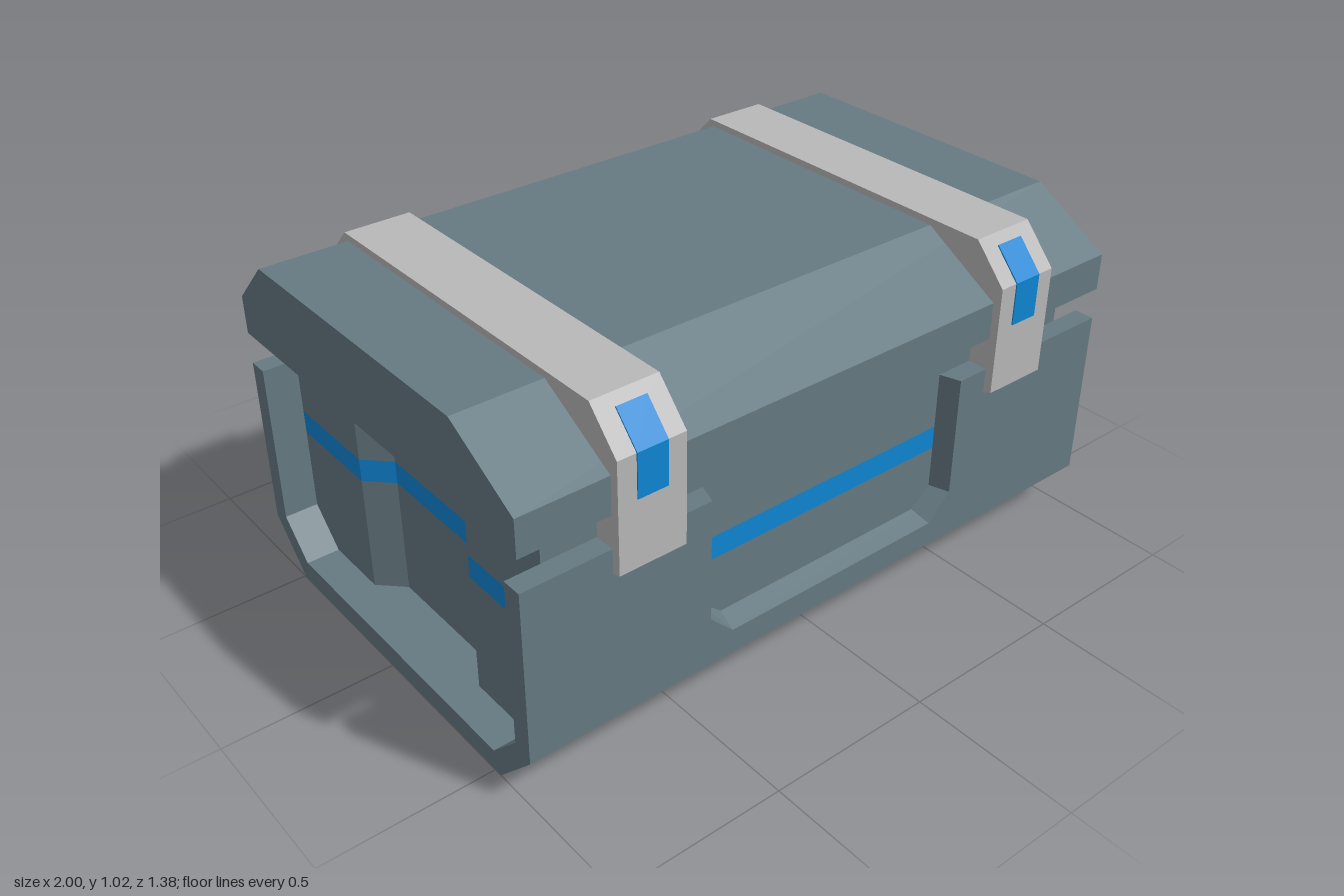
import * as THREE from 'three';

// Prism along z: outline A ([x, y] points) at z0 blending to outline B at z1.
function loft(A, B, z0, z1) {
  const d = z1 - z0;
  const shape = new THREE.Shape(A.map(([x, y]) => new THREE.Vector2(x, y)));
  const geo = new THREE.ExtrudeGeometry(shape, { depth: d, bevelEnabled: false, steps: 1 });
  const p = geo.attributes.position;
  for (let i = 0; i < p.count; i++) {
    if (p.getZ(i) < d / 2) continue;
    const k = A.findIndex(([x, y]) => Math.hypot(x - p.getX(i), y - p.getY(i)) < 1e-4);
    p.setXY(i, B[k][0], B[k][1]);
  }
  geo.translate(0, 0, z0);
  geo.computeVertexNormals();
  return geo;
}

// Prism along x from side profiles given as [z, y] points.
function loftX(A, B, x0, x1) {
  const flip = (pts) => pts.map(([z, y]) => [-z, y]);
  return loft(flip(A), flip(B), x0, x1).rotateY(Math.PI / 2);
}

// Same prism on either side of the model.
function loftSide(A, B, x0, x1, s) {
  return s > 0 ? loftX(A, B, x0, x1) : loftX(B, A, -x1, -x0);
}

export function createModel() {
  const model = new THREE.Group();
  model.name = 'crate';
  const material = (name, color) => {
    const m = new THREE.MeshStandardMaterial({ color });
    m.name = name;
    return m;
  };
  const slate = material('slate', 0x667a82);
  const grey = material('strapGrey', 0xb8b8b8);
  const blue = material('accentBlue', 0x0f86d4);
  const add = (name, geo, mat) => {
    const mesh = new THREE.Mesh(geo, mat);
    mesh.name = name;
    model.add(mesh);
  };
  const sides = [[1, 'left'], [-1, 'right']];

  // Inner body, stacked in three bands so the stripe is a whole part
  const bands = [['bodyLower', 0.065, 0.422, slate], ['bodyStripe', 0.422, 0.492, blue], ['bodyUpper', 0.492, 0.755, slate]];
  for (const [name, y0, y1, mat] of bands) {
    const c = y0 < 0.1 ? 0.105 : 0; // bottom chamfer on the lowest band only
    const corner = (z, s) => (c ? [[z, y0 + c], [z - s * c, y0]] : [[z, y0]]);
    const core = [[0.605, y1], ...corner(0.605, 1), ...corner(-0.575, -1).reverse(), [-0.575, y1]];
    add(name, loftX(core, core, -0.83, 0.83), mat);
    // Raised end panels, sloping down to the recessed middle
    const panel = (z, s, inner) => [[z, y1], ...corner(z, s), [inner, y0], [inner, y1]];
    for (const [s, side] of sides) {
      add(`${name}FrontPanel_${side}`, loftSide(panel(0.605, 1, 0.215), panel(0.605, 1, 0.28), 0.83, 0.9, s), mat);
      add(`${name}BackPanel_${side}`, loftSide(panel(-0.575, -1, -0.19), panel(-0.575, -1, -0.26), 0.83, 0.9, s), mat);
    }
  }

  // U-shaped outer shell: full ends, lower front in the middle with an undercut
  const shellInside = [[-0.575, 0.66], [-0.575, 0.17], [-0.47, 0.065], [0.5, 0.065], [0.605, 0.17]];
  const shellBack = [[-0.495, 0], [-0.635, 0.145], [-0.635, 0.66]];
  const endProfile = [...shellInside, [0.605, 0.66], [0.665, 0.66], [0.665, 0.145], [0.525, 0], ...shellBack];
  const midProfile = [...shellInside, [0.605, 0.24], [0.665, 0.22], [0.665, 0.145], [0.602, 0.08], [0.46, 0], ...shellBack];
  add('shellMiddle', loftX(midProfile, midProfile, -0.47, 0.47), slate);

  // Bevelled edges of the front opening
  const notchInner = [[0.47, 0.66], [0.42, 0.66], [0.42, 0.295], [0.355, 0.24], [0.47, 0.24]];
  const notchOuter = [[0.47, 0.66], [0.44, 0.66], [0.44, 0.295], [0.365, 0.22], [0.47, 0.22]];

  // Lid, strap, clasp and hinge profiles
  const lid = [[0.665, 0.755], [0.665, 0.865], [0.42, 1.005], [-0.495, 1.005], [-0.635, 0.868], [-0.635, 0.755]];
  add('lid', loftX(lid, lid, -1, 1), slate);
  const strap = [[0.69, 0.595], [0.69, 0.915], [0.59, 1.025], [-0.51, 1.025], [-0.657, 0.872], [-0.657, 0.76],
    [-0.6, 0.76], [0.6, 0.76], [0.6, 0.565]];
  const clasp = [[0.693, 0.79], [0.693, 0.917], [0.616, 1.002], [0.612, 0.998], [0.688, 0.914], [0.688, 0.79]];
  const hinge = [[-0.575, 0.84], [-0.635, 0.835], [-0.69, 0.775], [-0.635, 0.41], [-0.575, 0.41]];

  for (const [s, side] of sides) {
    const mirror = (pts) => pts.map(([x, y]) => [x * s, y]);
    add(`shellEnd_${side}`, loftSide(endProfile, endProfile, 0.47, 1, s), slate);
    add(`openingEdge_${side}`, loft(mirror(notchInner), mirror(notchOuter), 0.605, 0.665), slate);
    add(`strap_${side}`, loftSide(strap, strap, 0.54, 0.74, s), grey);
    add(`clasp_${side}`, loftSide(clasp, clasp, 0.595, 0.685, s), blue);
    add(`hinge_${side}`, loftSide(hinge, hinge, 0.565, 0.715, s), slate);
  }
  return model;
}
